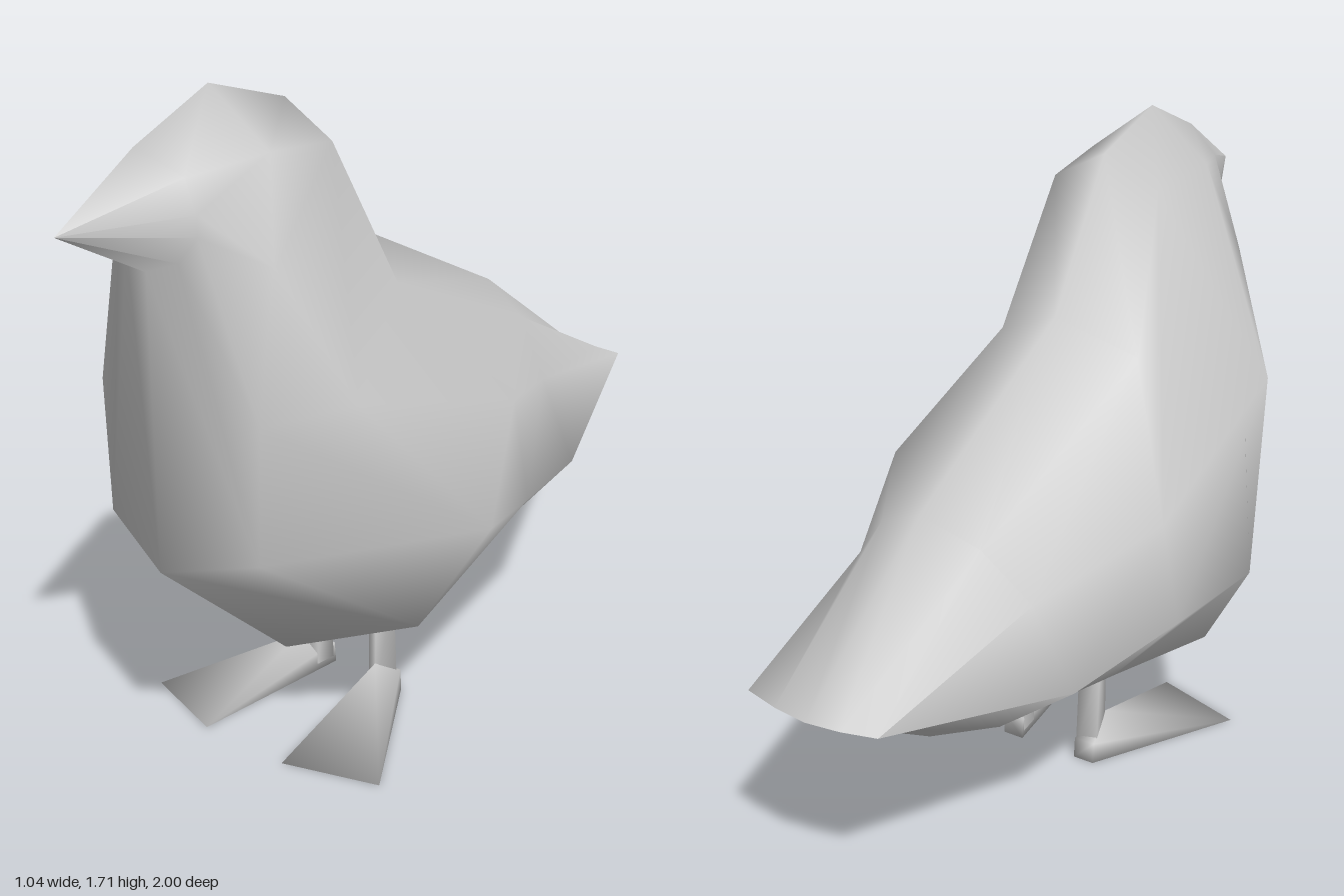
import * as THREE from 'three';
import { ConvexGeometry } from 'three/addons/geometries/ConvexGeometry.js';
import { mergeVertices } from 'three/addons/utils/BufferGeometryUtils.js';

const material = new THREE.MeshStandardMaterial({ color: 0xcccccc });

// Half cross-sections (+x side), each running from the back ridge down to the belly
const bodySections = [
  // face behind the beak
  [[0, 1.61, 0.77], [0.1, 1.55, 0.72], [0.12, 1.47, 0.71], [0.12, 1.42, 0.71], [0.08, 1.36, 0.73], [0, 1.33, 0.75]],
  // crown and breast
  [[0, 1.71, 0.54], [0.17, 1.58, 0.53], [0.24, 1.35, 0.6], [0.25, 1.0, 0.67], [0.24, 0.66, 0.67], [0, 0.6, 0.75]],
  // nape and widest part of the belly
  [[0, 1.64, 0.29], [0.15, 1.56, 0.3], [0.39, 1.04, 0.5], [0.52, 0.65, 0.16], [0.365, 0.365, 0.24], [0, 0.21, 0.32]],
  // shoulders
  [[0, 1.28, 0.05], [0.2, 1.19, 0.12], [0.4, 0.87, -0.1], [0.45, 0.61, -0.1], [0.28, 0.41, -0.12], [0, 0.29, -0.1]],
  // rump
  [[0, 0.99, -0.55], [0.14, 0.92, -0.51], [0.25, 0.78, -0.46], [0.36, 0.57, -0.45], [0.18, 0.44, -0.5], [0, 0.37, -0.54]],
];

// Smooth skin through rings of equal length, ordered front to back
function loft(rings) {
  const n = rings[0].length;
  const index = [];
  for (let i = 0; i < rings.length - 1; i++) {
    for (let j = 0; j < n; j++) {
      const a = i * n + j, b = i * n + (j + 1) % n;
      index.push(a, b, a + n, b, b + n, a + n);
    }
  }
  const geometry = new THREE.BufferGeometry();
  geometry.setAttribute('position', new THREE.Float32BufferAttribute(rings.flat(2), 3));
  geometry.setIndex(index);
  geometry.computeVertexNormals();
  return geometry;
}

// Closes a half section with its mirror image
function mirrorSection(half) {
  const other = half.slice(1, -1).reverse().map(([x, y, z]) => [-x, y, z]);
  return [...half, ...other];
}

// Smooth-shaded solid around a few corners, mirrored by side
function solid(corners, side) {
  const points = corners.map(([x, y, z]) => new THREE.Vector3(x * side, y, z));
  const hull = new ConvexGeometry(points);
  hull.deleteAttribute('normal');
  const geometry = mergeVertices(hull, 1e-4);
  geometry.computeVertexNormals();
  return geometry;
}

function addMesh(parent, name, geometry) {
  const mesh = new THREE.Mesh(geometry, material);
  mesh.name = name;
  parent.add(mesh);
}

export function createModel() {
  const bird = new THREE.Group();
  bird.name = 'bird';

  // Body, from the beak tip to the flat tail edge
  const beakTip = Array.from({ length: 6 }, () => [0, 1.465, 1]);
  const tailEdge = [0, 0.09, 0.18, 0.18, 0.09, 0].map((x) => [x, 0.68 + x * 0.05, -1 + x * x * 0.75]);
  addMesh(bird, 'body', loft([beakTip, ...bodySections, tailEdge].map(mirrorSection)));

  // Legs and splayed wedge feet
  const legPlan = [[0.085, 0.03], [0.09, 0.09], [0.13, 0.115], [0.145, 0.04]];
  for (const side of [1, -1]) {
    const label = side > 0 ? 'left' : 'right';
    const shank = [
      ...legPlan.map(([x, z]) => [x, 0.02, z]),
      ...legPlan.map(([x, z]) => [x, 0.31, z * 0.75 + 0.025]),
    ];
    addMesh(bird, label + 'Leg', solid(shank, side));
    const foot = [
      [0.085, 0, 0.02], [0.145, 0, 0.02], [0.085, 0.06, 0.025], [0.145, 0.06, 0.025],
      [0.13, 0.115, 0.115], [0.13, 0, 0.49], [0.38, 0, 0.41],
    ];
    addMesh(bird, label + 'Foot', solid(foot, side));
  }
  return bird;
}
